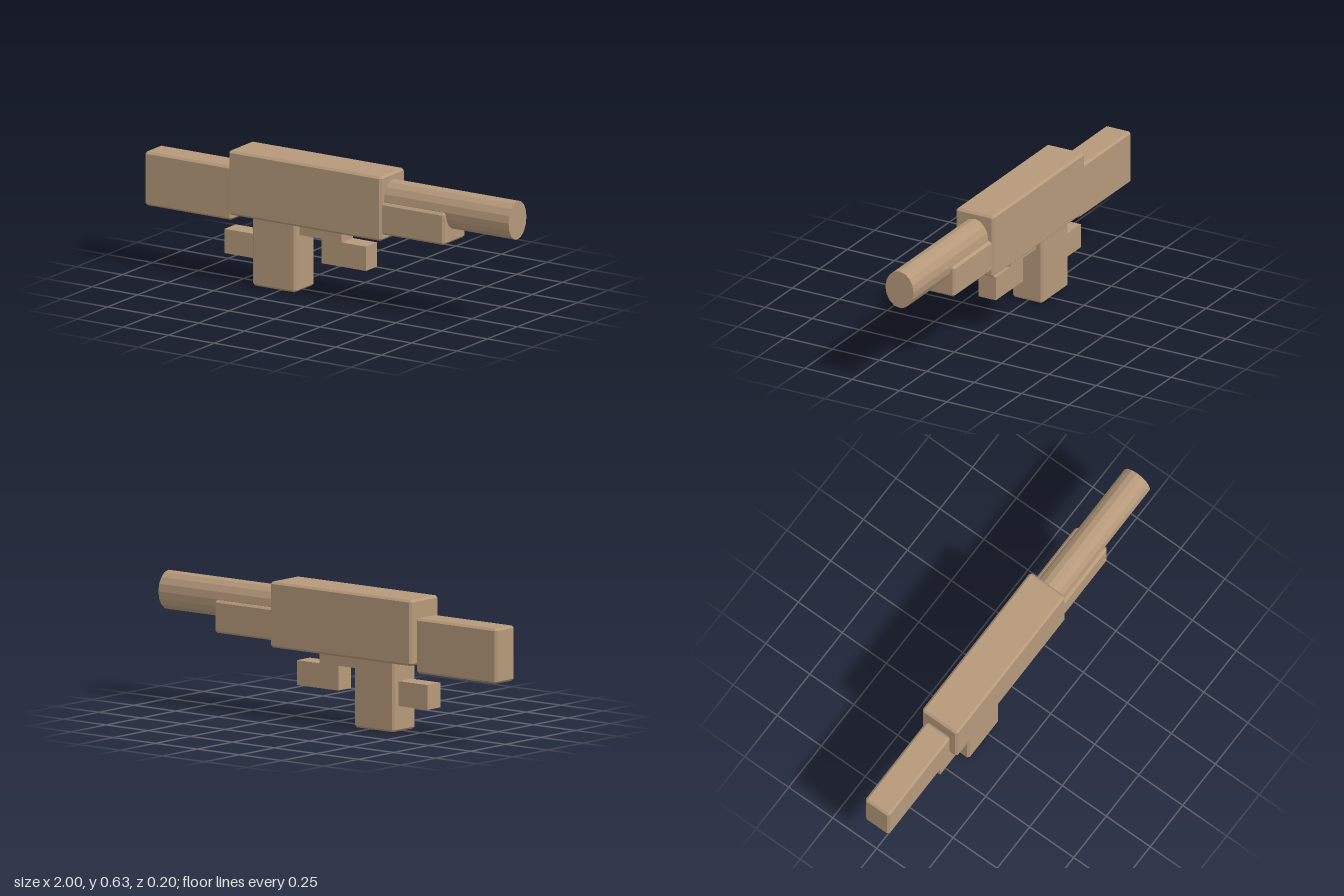
import * as THREE from 'three';
import { ConvexGeometry } from 'three/addons/geometries/ConvexGeometry.js';

const tan = new THREE.MeshStandardMaterial({ color: 0xb5997a });
tan.name = 'tan';

// Box with every edge cut at an angle, spanning the given ranges
function chamferedBox([x0, x1], [y0, y1], halfZ, c = 0.01) {
  const hx = (x1 - x0) / 2, hy = (y1 - y0) / 2, points = [];
  for (const sx of [-1, 1]) for (const sy of [-1, 1]) for (const sz of [-1, 1]) {
    points.push(
      new THREE.Vector3(sx * hx, sy * (hy - c), sz * (halfZ - c)),
      new THREE.Vector3(sx * (hx - c), sy * hy, sz * (halfZ - c)),
      new THREE.Vector3(sx * (hx - c), sy * (hy - c), sz * halfZ));
  }
  return new ConvexGeometry(points).translate((x0 + x1) / 2, (y0 + y1) / 2, 0);
}

function plainBox([x0, x1], [y0, y1], halfZ) {
  return new THREE.BoxGeometry(x1 - x0, y1 - y0, halfZ * 2)
    .translate((x0 + x1) / 2, (y0 + y1) / 2, 0);
}

export function createModel() {
  const model = new THREE.Group();
  model.name = 'blockyBlaster';
  const add = (name, geometry) => {
    const mesh = new THREE.Mesh(geometry, tan);
    mesh.name = name;
    model.add(mesh);
  };

  // Large chamfered blocks
  add('body', chamferedBox([-0.52, 0.317], [0.322, 0.627], 0.1));
  add('stock', chamferedBox([-1, -0.523], [0.287, 0.542], 0.068));
  add('handguard', chamferedBox([0.3, 0.656], [0.352, 0.503], 0.09));
  add('magazine', chamferedBox([-0.402, -0.165], [0, 0.34], 0.08));

  // Slightly oval faceted barrel
  const barrel = new THREE.CylinderGeometry(1, 1, 0.72, 16)
    .rotateZ(-Math.PI / 2).scale(1, 0.091, 0.074)
    .translate(0.64, 0.505, 0).toNonIndexed();
  barrel.computeVertexNormals();
  add('barrel', barrel);

  // Small plain blocks beneath the body
  add('rearBlock', plainBox([-0.575, -0.395], [0.12, 0.235], 0.046));
  add('triggerBar', plainBox([-0.17, 0.067], [0.268, 0.33], 0.046));
  add('frontBlock', plainBox([-0.045, 0.2], [0.153, 0.268], 0.046));

  return model;
}
